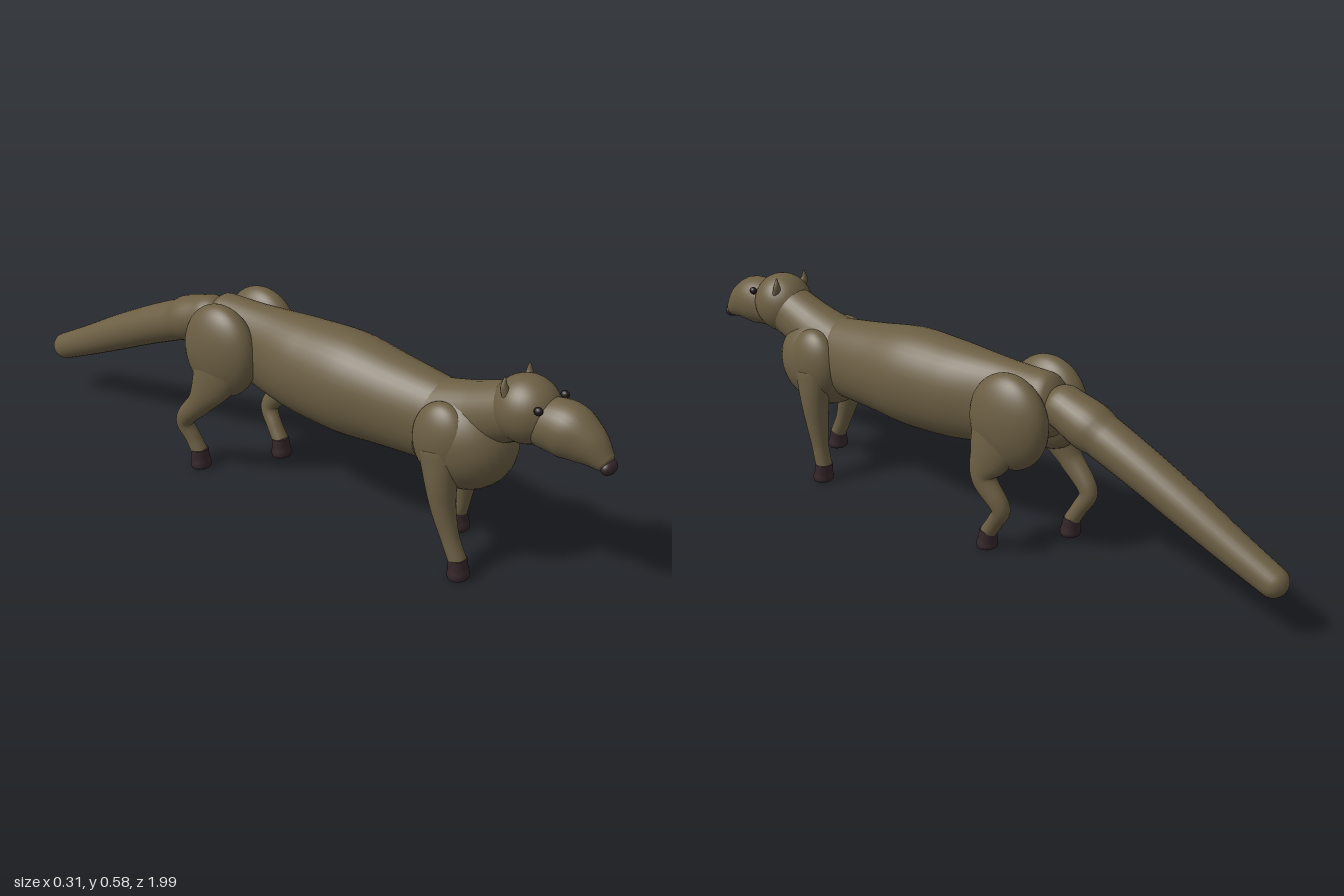
import * as THREE from 'three';

const fur = new THREE.MeshStandardMaterial({ color: 0x6b5e43 });
fur.name = 'brown fur';
const dark = new THREE.MeshStandardMaterial({ color: 0x35262a });
dark.name = 'dark paw and nose';
const black = new THREE.MeshStandardMaterial({ color: 0x1e1718 });
black.name = 'eye black';

// Elliptical rings swept along a smooth path of [x, y, z, sideRadius, otherRadius].
// cap: length of the rounded ends relative to the end radius.
function sweep(name, material, points, cap = 0.7, steps = 28, sides = 28) {
  const path = new THREE.CatmullRomCurve3(points.map((p) => new THREE.Vector3(p[0], p[1], p[2])));
  const radii = new THREE.CatmullRomCurve3(points.map((p) => new THREE.Vector3(p[3], p[4] ?? p[3], 0)));
  const rings = [];
  const addRing = (t, scale, shift) => {
    const dir = path.getTangent(t), r = radii.getPoint(t);
    const side = new THREE.Vector3(1, 0, 0).addScaledVector(dir, -dir.x).normalize();
    const up = new THREE.Vector3().crossVectors(dir, side);
    const c = path.getPoint(t).addScaledVector(dir, shift * Math.min(r.x, r.y));
    rings.push({ c, side, up, a: r.x * scale, b: r.y * scale });
  };
  const n = 6, q = Math.PI / 2 / n;
  for (let k = 0; k < n; k++) addRing(0, Math.max(Math.sin(k * q), 0.002), -cap * Math.cos(k * q));
  for (let i = 0; i <= steps; i++) addRing(i / steps, 1, 0);
  for (let k = n - 1; k >= 0; k--) addRing(1, Math.max(Math.sin(k * q), 0.002), cap * Math.cos(k * q));

  const pos = [], index = [];
  rings.forEach(({ c, side, up, a, b }, i) => {
    for (let j = 0; j < sides; j++) {
      const th = (j / sides) * Math.PI * 2;
      const v = c.clone().addScaledVector(side, a * Math.cos(th)).addScaledVector(up, b * Math.sin(th));
      pos.push(v.x, v.y, v.z);
      if (i === rings.length - 1) continue;
      const p = i * sides + j, p2 = i * sides + ((j + 1) % sides);
      index.push(p, p2, p + sides, p2, p2 + sides, p + sides);
    }
  });
  const g = new THREE.BufferGeometry();
  g.setAttribute('position', new THREE.Float32BufferAttribute(pos, 3));
  g.setIndex(index);
  g.computeVertexNormals();
  const mesh = new THREE.Mesh(g, material);
  mesh.name = name;
  return mesh;
}

function ellipsoid(name, material, [x, y, z], [rx, ry, rz]) {
  const mesh = new THREE.Mesh(new THREE.SphereGeometry(1, 36, 24), material);
  mesh.name = name;
  mesh.position.set(x, y, z);
  mesh.scale.set(rx, ry, rz);
  return mesh;
}

// Dark paw standing on the ground
function paw(x, z) {
  return sweep('paw', dark, [
    [x, 0.056, z, 0.027, 0.024], [x, 0.03, z + 0.002, 0.029, 0.026],
    [x, 0.012, z + 0.004, 0.032, 0.029], [x, 0.003, z + 0.004, 0.03, 0.027],
  ], 0.1, 12);
}

function frontLeg(s, name, elbowZ, footZ, shoulderZ) {
  const leg = new THREE.Group();
  leg.name = name;
  leg.add(
    ellipsoid('shoulder', fur, [s * 0.075, 0.36, shoulderZ], [0.053, 0.105, 0.085]),
    sweep('foreleg', fur, [
      [s * 0.085, 0.34, shoulderZ, 0.045, 0.06],
      [s * 0.093, 0.25, (shoulderZ + elbowZ) / 2, 0.042, 0.042],
      [s * 0.097, 0.18, elbowZ, 0.034, 0.032],
      [s * 0.1, 0.1, elbowZ * 0.45 + footZ * 0.55, 0.025, 0.024],
      [s * 0.1, 0.05, footZ, 0.026, 0.023],
    ], 0.2),
    paw(s * 0.1, footZ));
  return leg;
}

function hindLeg(s, name, kneeZ, hockZ, footZ) {
  const leg = new THREE.Group();
  leg.name = name;
  leg.add(
    ellipsoid('haunch', fur, [s * 0.087, 0.39, -0.192], [0.066, 0.136, 0.124]),
    sweep('hindLegLimb', fur, [
      [s * 0.095, 0.37, -0.18, 0.052, 0.1],
      [s * 0.115, 0.29, (kneeZ - 0.17) / 2, 0.038, 0.066],
      [s * 0.122, 0.225, kneeZ, 0.031, 0.038],
      [s * 0.115, 0.14, hockZ, 0.025, 0.027],
      [s * 0.106, 0.09, (hockZ + footZ) / 2, 0.023, 0.023],
      [s * 0.102, 0.05, footZ, 0.025, 0.023],
    ], 0.2, 40),
    paw(s * 0.102, footZ));
  return leg;
}

export function createModel() {
  const model = new THREE.Group();
  model.name = 'longTailedAnimal';

  // Trunk, chest and neck
  model.add(
    sweep('torso', fur, [
      [0, 0.43, -0.26, 0.07, 0.09], [0, 0.4, -0.1, 0.086, 0.123], [0, 0.388, 0.05, 0.113, 0.14],
      [0, 0.385, 0.2, 0.122, 0.146], [0, 0.378, 0.35, 0.108, 0.131], [0, 0.37, 0.5, 0.09, 0.118],
    ], 0.6, 40, 40),
    ellipsoid('chest', fur, [0, 0.348, 0.572], [0.122, 0.138, 0.148]),
    sweep('neck', fur, [
      [0, 0.385, 0.5, 0.09, 0.1], [0, 0.43, 0.62, 0.076, 0.084], [0, 0.475, 0.73, 0.07, 0.076],
    ]));

  // Head
  const head = new THREE.Group();
  head.name = 'head';
  head.add(
    ellipsoid('skull', fur, [0, 0.485, 0.748], [0.083, 0.089, 0.09]),
    sweep('muzzle', fur, [
      [0, 0.467, 0.8, 0.062, 0.066], [0, 0.466, 0.865, 0.066, 0.073],
      [0, 0.445, 0.925, 0.05, 0.056], [0, 0.416, 0.972, 0.029, 0.028],
    ], 0.4),
    ellipsoid('nose', dark, [0, 0.406, 0.982], [0.028, 0.02, 0.018]));
  for (const s of [1, -1]) {
    head.add(
      ellipsoid('eye', black, [s * 0.06, 0.521, 0.815], [0.01, 0.011, 0.012]),
      sweep('ear', fur, [
        [s * 0.05, 0.53, 0.72, 0.018, 0.012], [s * 0.057, 0.553, 0.714, 0.011, 0.009],
        [s * 0.055, 0.579, 0.714, 0.002, 0.002],
      ], 0.4, 12, 14));
  }
  model.add(head);

  // Legs in a walking pose
  model.add(
    frontLeg(1, 'leftFrontLeg', 0.525, 0.502, 0.545),
    frontLeg(-1, 'rightFrontLeg', 0.585, 0.638, 0.555),
    hindLeg(1, 'leftHindLeg', -0.135, -0.19, -0.137),
    hindLeg(-1, 'rightHindLeg', -0.245, -0.315, -0.272));

  // Tail
  model.add(sweep('tail', fur, [
    [0, 0.436, -0.31, 0.061], [0, 0.39, -0.43, 0.061], [0, 0.335, -0.56, 0.058],
    [0, 0.27, -0.7, 0.054], [0, 0.205, -0.835, 0.047], [0, 0.15, -0.955, 0.041],
  ], 0.95, 40));
  return model;
}
